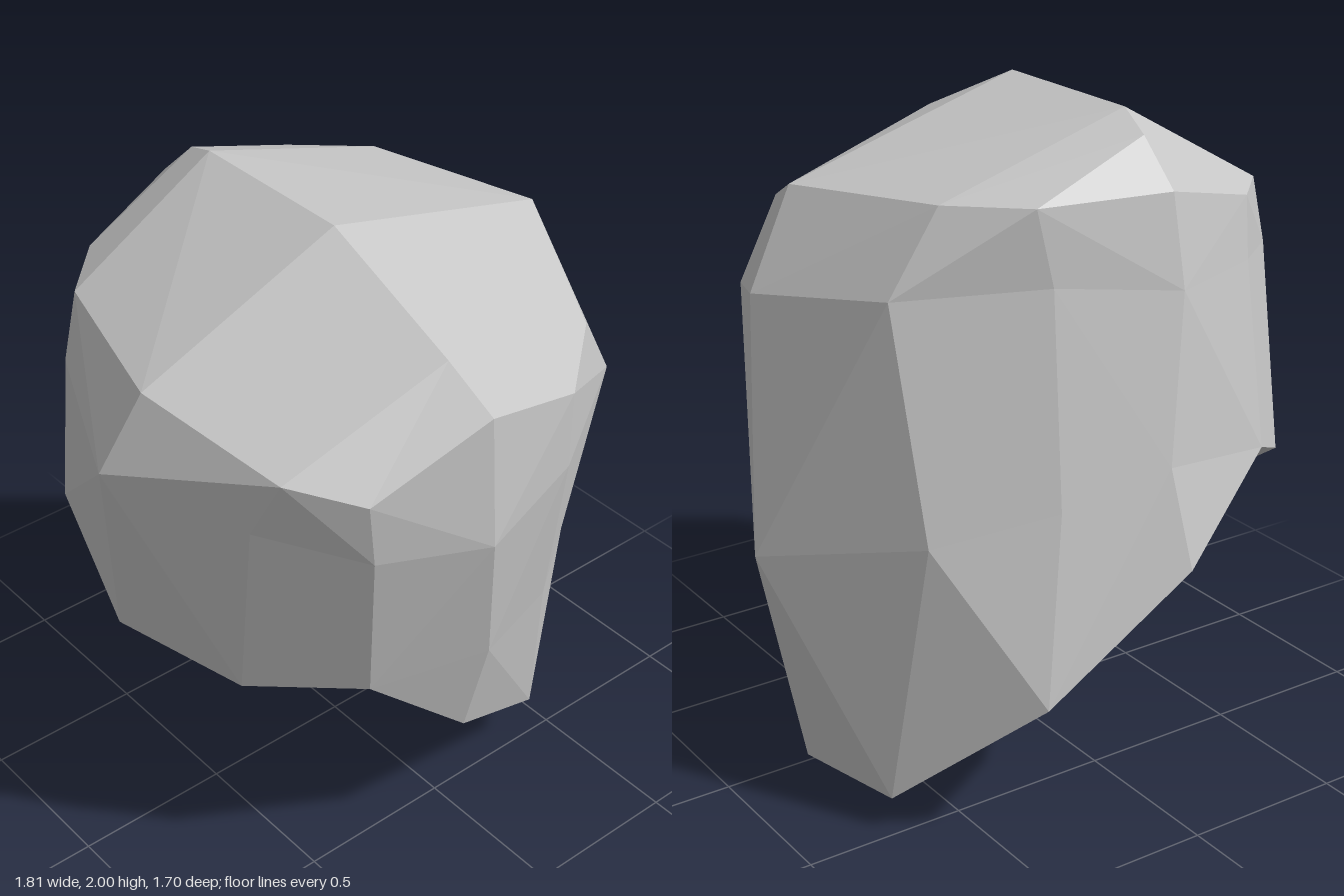
import * as THREE from 'three';

export function createModel() {
  const stone = new THREE.MeshStandardMaterial({ color: 0xc5c5c5 });
  stone.name = 'stoneGrey';

  // shared crown points and the inner corner of the cut underside
  const ridgeFront = [-0.17, 2, 0.2], ridgeBack = [-0.17, 2, -0.36];
  const brow = [-0.17, 1.8, 0.67], nape = [-0.14, 1.95, -0.49];
  const under = [-0.05, 0.545, -0.12];

  // twelve columns from the +x side round by the front: crown, rim, shoulder, middle, foot
  // (columns without a middle point go straight from shoulder to foot)
  const columns = [
    [ridgeFront, [0.63, 1.78, 0.16], [0.8, 1.5, 0.1], [0.9, 0.76, -0.05], [0.71, 0, 0.03]],
    [brow, [0.45, 1.62, 0.58], [0.61, 1.38, 0.53], [0.61, 0.71, 0.4], [0.39, 0.17, 0.52]],
    [brow, [0.25, 1.55, 0.74], [0.25, 1.3, 0.74], [0.3, 0.74, 0.63], [0.39, 0.17, 0.52]],
    [brow, [-0.14, 1.68, 0.82], [-0.14, 1.27, 0.85], [-0.06, 0.8, 0.77], [-0.07, 0.46, 0.69]],
    [brow, [-0.49, 1.5, 0.73], [-0.47, 1.3, 0.73], [-0.42, 0.78, 0.66], [-0.42, 0.78, 0.66]],
    [brow, [-0.66, 1.56, 0.57], [-0.69, 1.36, 0.47], [-0.66, 0.73, 0.37], [-0.66, 0.73, 0.37]],
    [ridgeFront, [-0.79, 1.69, 0.14], [-0.91, 1.45, 0.09], [-0.81, 0.8, -0.02], [-0.81, 0.8, -0.02]],
    [ridgeBack, [-0.66, 1.72, -0.36], [-0.71, 1.51, -0.36], [-0.65, 0.9, -0.53], [-0.65, 0.9, -0.53]],
    [nape, [-0.49, 1.73, -0.53], [-0.47, 1.55, -0.57], [-0.46, 1, -0.68], [-0.46, 1, -0.68]],
    [nape, [-0.14, 1.82, -0.63], [-0.14, 1.55, -0.69], [-0.04, 1.07, -0.78], [-0.07, 0.77, -0.85]],
    [nape, [0.25, 1.81, -0.53], [0.22, 1.59, -0.57], [0.28, 0.98, -0.7], [0.39, 0.44, -0.8]],
    [ridgeBack, [0.45, 1.81, -0.35], [0.61, 1.56, -0.34], [0.61, 0.89, -0.53], [0.71, 0.1, -0.47]],
  ].map(col => [...col, under].map(p => new THREE.Vector3(...p)));

  const positions = [];
  const triangle = (a, b, c) => {
    if (a.equals(b) || b.equals(c) || c.equals(a)) return;
    for (const p of [a, b, c]) positions.push(p.x, p.y, p.z);
  };

  // split each quad along the diagonal that bulges outward
  const quad = (a, b, c, d) => {
    const normal = b.clone().sub(a).cross(c.clone().sub(a));
    if (normal.dot(d.clone().sub(a)) <= 0) {
      triangle(a, b, c);
      triangle(a, c, d);
    } else {
      triangle(a, b, d);
      triangle(b, c, d);
    }
  };

  columns.forEach((a, i) => {
    const b = columns[(i + 1) % columns.length];
    for (let k = 0; k < a.length - 1; k++) quad(a[k], b[k], b[k + 1], a[k + 1]);
  });

  // separate triangles keep every facet flat
  const geometry = new THREE.BufferGeometry();
  geometry.setAttribute('position', new THREE.Float32BufferAttribute(positions, 3));
  geometry.computeVertexNormals();

  const rock = new THREE.Mesh(geometry, stone);
  rock.name = 'rock';
  const group = new THREE.Group();
  group.name = 'facetedRock';
  group.add(rock);
  return group;
}
